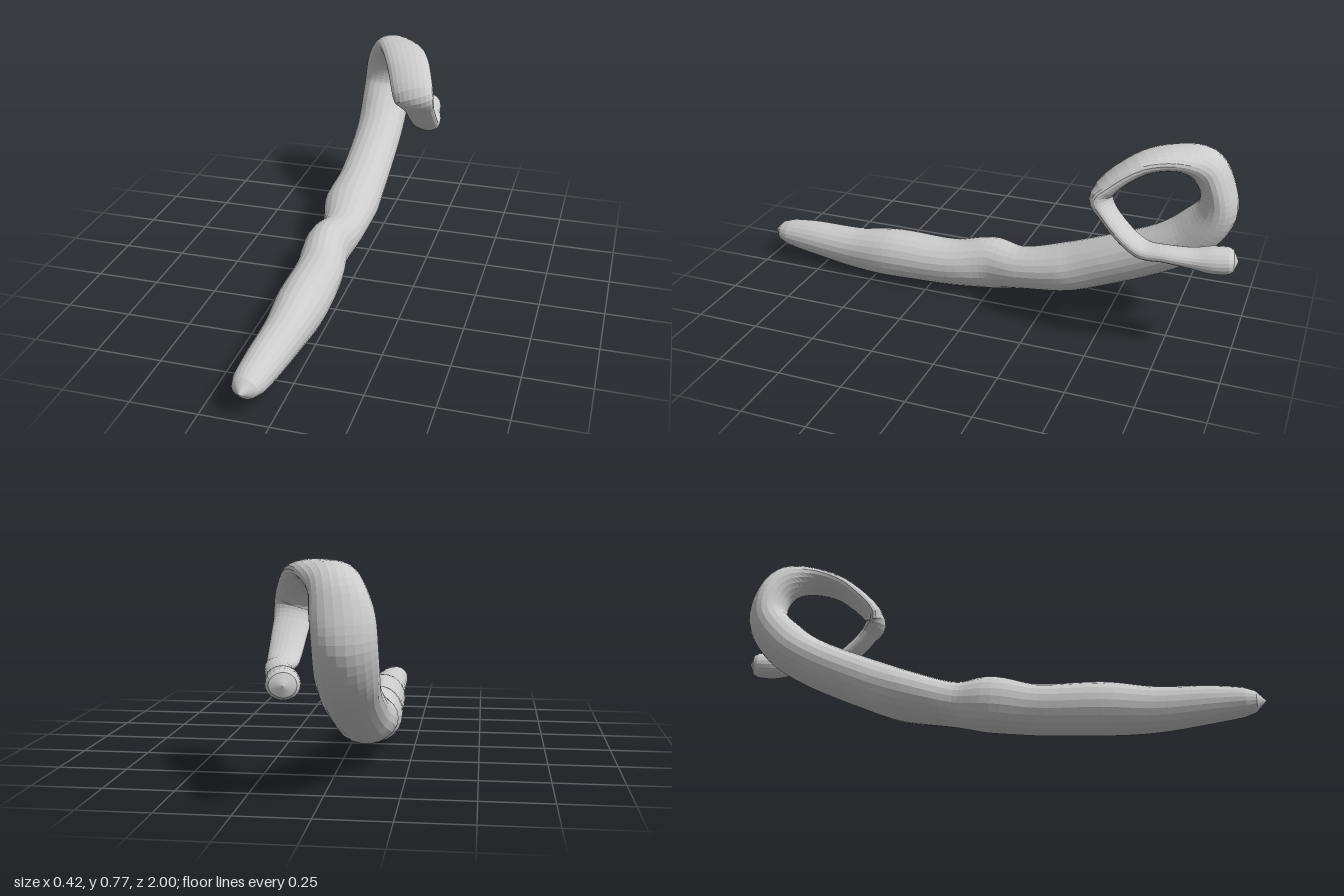
import * as THREE from 'three';

// Stations along the tendril: x, y, z, half width (sideways), half thickness
const STATIONS = [
  [-0.10, 0.11, 1, 0.055, 0.045],
  [-0.09, 0.105, 0.80, 0.07, 0.071],
  [-0.085, 0.095, 0.60, 0.08, 0.087],
  [-0.083, 0.105, 0.40, 0.098, 0.101],
  [-0.09, 0.107, 0.16, 0.094, 0.096],
  [-0.108, 0.126, 0, 0.092, 0.108],
  [-0.085, 0.14, -0.14, 0.088, 0.085],
  [-0.095, 0.178, -0.33, 0.115, 0.094],
  [-0.085, 0.226, -0.45, 0.104, 0.094],
  [-0.08, 0.345, -0.71, 0.102, 0.09],
  [-0.085, 0.42, -0.815, 0.105, 0.09],
  [-0.085, 0.52, -0.885, 0.105, 0.076],
  [-0.075, 0.62, -0.88, 0.102, 0.062],
  [-0.05, 0.70, -0.835, 0.088, 0.063],
  [0.005, 0.738, -0.74, 0.085, 0.04],
  [0.065, 0.718, -0.62, 0.088, 0.037],
  [0.123, 0.61, -0.503, 0.086, 0.039],
  [0.138, 0.55, -0.533, 0.066, 0.028],
  [0.147, 0.435, -0.66, 0.056, 0.03],
  [0.146, 0.428, -0.75, 0.045, 0.029],
  [0.122, 0.415, -0.84, 0.047, 0.036],
  [0.10, 0.41, -0.92, 0.056, 0.05],
  [0.085, 0.413, -1, 0.054, 0.048],
];
const SIDES = 22;
const STEPS = 5; // rings per station

function sweepGeometry() {
  const path = new THREE.CatmullRomCurve3(STATIONS.map(([x, y, z]) => new THREE.Vector3(x, y, z)));
  const size = new THREE.CatmullRomCurve3(STATIONS.map(([, , , w, h]) => new THREE.Vector3(w, h, 0)));
  const rings = (STATIONS.length - 1) * STEPS;
  const positions = [];
  const index = [];

  for (let i = 0; i <= rings; i++) {
    const t = i / rings;
    const centre = path.getPoint(t);
    const radii = size.getPoint(t);
    const along = path.getTangent(t);
    const side = new THREE.Vector3(1, 0, 0).addScaledVector(along, -along.x).normalize();
    const normal = along.clone().cross(side);
    // round off both tips over half a station
    const fromTip = Math.min(1, 2 * Math.min(i, rings - i) / STEPS);
    const cap = Math.sqrt(1 - (1 - fromTip) ** 2);
    for (let j = 0; j < SIDES; j++) {
      const a = (j / SIDES) * Math.PI * 2;
      // gentle organic lumps
      const scale = cap * (1 + 0.018 * Math.sin(3 * a + i * 0.3) * Math.sin(i * 0.25));
      const p = centre.clone()
        .addScaledVector(side, Math.cos(a) * radii.x * scale)
        .addScaledVector(normal, Math.sin(a) * radii.y * scale);
      positions.push(p.x, Math.max(p.y, 0), p.z);
    }
  }

  for (let i = 0; i < rings; i++) {
    for (let j = 0; j < SIDES; j++) {
      const a = i * SIDES + j;
      const b = i * SIDES + (j + 1) % SIDES;
      const c = a + SIDES;
      const d = b + SIDES;
      // the first and last rings close to a point
      if (i > 0) index.push(a, b, d);
      if (i < rings - 1) index.push(a, d, c);
      // first ring is a point, so its fan uses the far edge; the last uses the near edge
    }
  }

  const geometry = new THREE.BufferGeometry();
  geometry.setAttribute('position', new THREE.Float32BufferAttribute(positions, 3));
  geometry.setIndex(index);
  geometry.computeVertexNormals();
  return geometry;
}

export function createModel() {
  const model = new THREE.Group();
  model.name = 'curledTendril';
  const material = new THREE.MeshStandardMaterial({ color: 0xcccccc, flatShading: true });
  const tendril = new THREE.Mesh(sweepGeometry(), material);
  tendril.name = 'tendril';
  model.add(tendril);
  return model;
}
